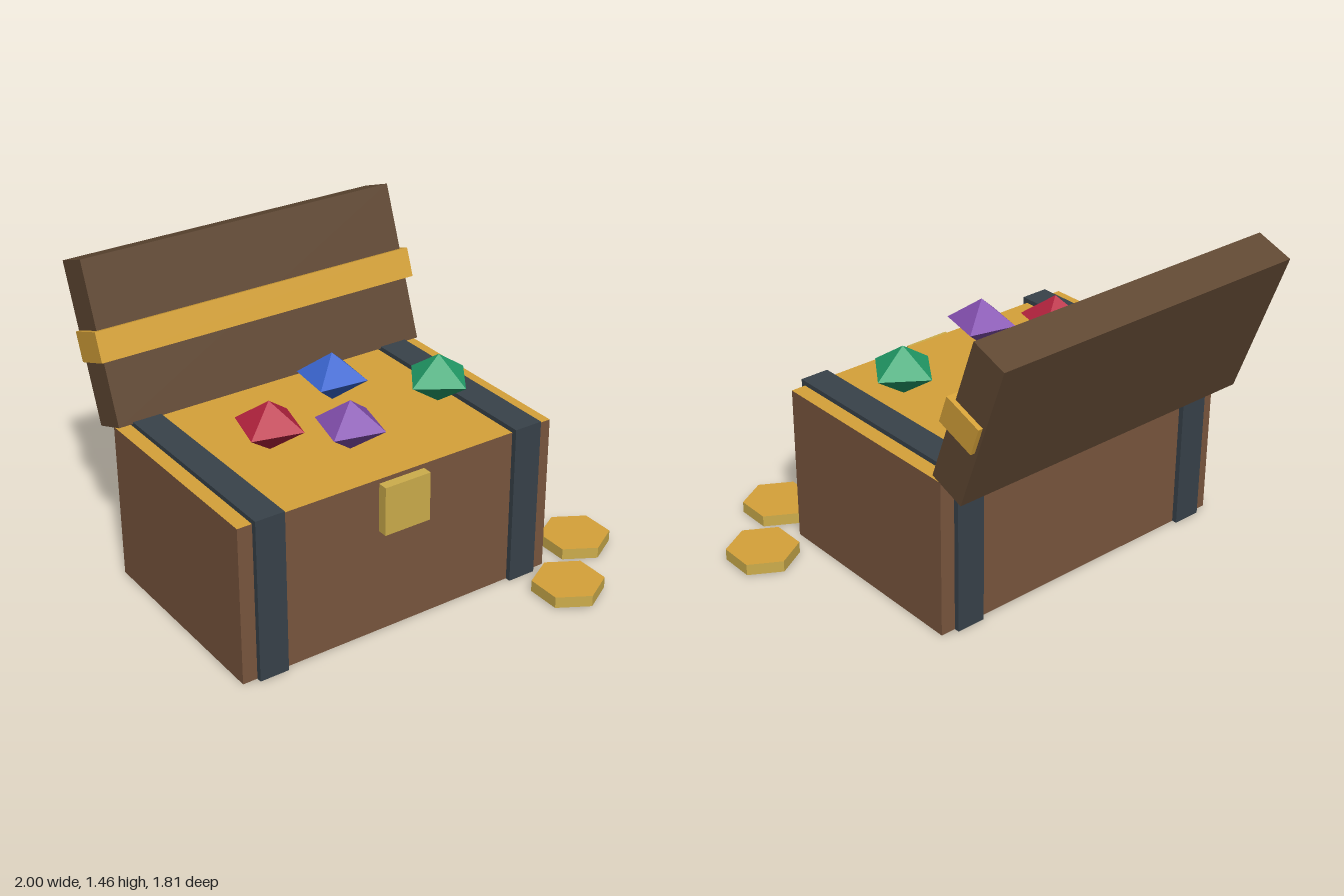
import * as THREE from 'three';

const mat = (name, color, side = THREE.FrontSide) => {
  const m = new THREE.MeshStandardMaterial({ color, side, flatShading: true });
  m.name = name;
  return m;
};

export function createModel() {
  const wood = mat('wood', 0x7a563e, THREE.DoubleSide);
  const darkWood = mat('darkWood', 0x604833);
  const gold = mat('gold', 0xd6a239, THREE.DoubleSide);
  const brass = mat('brass', 0xcdad4c);
  const iron = mat('iron', 0x38424a);

  const root = new THREE.Group();
  root.name = 'treasureChest';
  const add = (name, geo, material, pos, parent = root) => {
    const mesh = new THREE.Mesh(geo, material);
    mesh.name = name;
    mesh.position.set(...pos);
    parent.add(mesh);
    return mesh;
  };

  // Chest body: four walls, open underneath, filled to the brim with gold
  const W = 1.598, H = 0.75, D = 1.03, cx = -0.179, cz = -0.01;
  const body = new THREE.Group();
  body.name = 'body';
  body.position.set(cx, 0, cz);
  root.add(body);
  for (const s of [1, -1]) {
    const face = add(s > 0 ? 'frontWall' : 'backWall', new THREE.PlaneGeometry(W, H), wood, [0, H / 2, s * D / 2], body);
    face.rotation.y = s > 0 ? 0 : Math.PI;
    const end = add(s > 0 ? 'leftWall' : 'rightWall', new THREE.PlaneGeometry(D, H), wood, [s * W / 2, H / 2, 0], body);
    end.rotation.y = s * Math.PI / 2;
  }
  const fill = add('goldFill', new THREE.PlaneGeometry(W, D), gold, [0, H, 0], body);
  fill.rotation.x = -Math.PI / 2;

  // Iron straps running through the body
  for (const [name, x] of [['leftStrap', 0.479], ['rightStrap', -0.839]]) {
    add(name, new THREE.BoxGeometry(0.139, 0.772, 1.08), iron, [x, 0.386, cz]);
  }

  // Lock plate
  add('lock', new THREE.BoxGeometry(0.23, 0.23, 0.075), brass, [-0.179, 0.614, 0.514]);

  // Lid leaning open, with its trim band
  const lid = new THREE.Group();
  lid.name = 'lid';
  lid.position.set(cx, 1.0825, -0.6915);
  lid.rotation.x = -0.35;
  root.add(lid);
  add('lidPanel', new THREE.BoxGeometry(W, 0.745, 0.187), darkWood, [0, 0, 0], lid);
  add('lidTrim', new THREE.BoxGeometry(1.642, 0.138, 0.203), gold, [0, -0.008, 0.023], lid);

  // Gems: squashed octahedra
  const gems = [
    ['redGem', 0xb82440, -0.555, 0.077, 31],
    ['purpleGem', 0x8450b0, -0.275, 0.267, 31.5],
    ['blueGem', 0x3a66d0, -0.085, -0.153, 39],
    ['greenGem', 0x23a26c, 0.291, 0.126, 10.5],
  ];
  for (const [name, color, x, z, turn] of gems) {
    const gem = add(name, new THREE.OctahedronGeometry(0.164), mat(name, color), [x, 0.895, z]);
    gem.scale.y = 0.7;
    gem.rotation.y = THREE.MathUtils.degToRad(turn);
  }

  // Loose hexagonal coins on the ground
  for (const [x, z] of [[0.856, 0.455], [0.574, 0.739]]) {
    add('coin', new THREE.CylinderGeometry(0.165, 0.165, 0.054, 6), [brass, gold, gold], [x, 0.034, z]);
  }

  return root;
}
